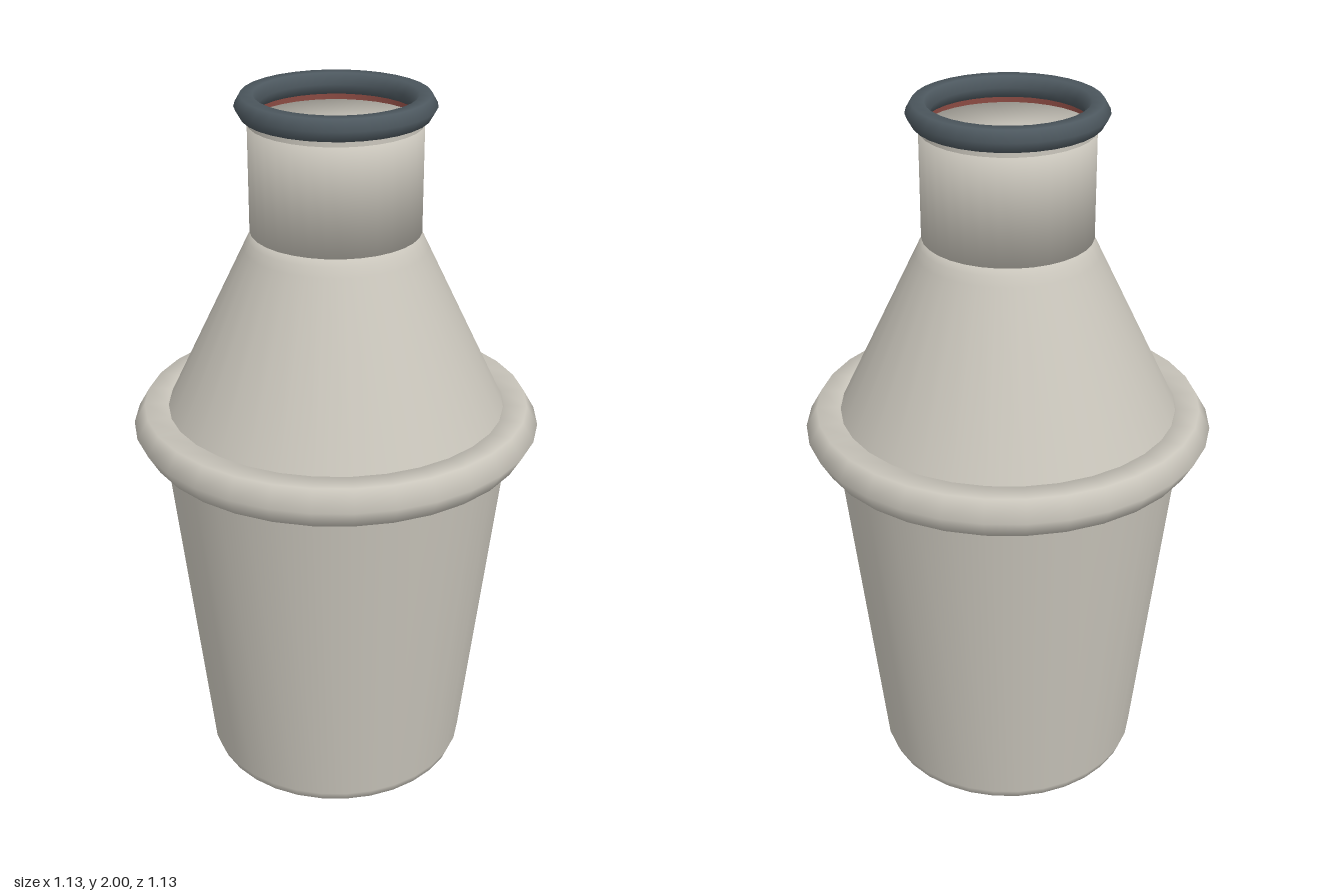
import * as THREE from 'three';

const SEG = 32;

export function createModel() {
  const model = new THREE.Group();
  const shell = new THREE.MeshStandardMaterial({ color: 0xc9c5bb });
  shell.name = 'warm grey';
  const dark = new THREE.MeshStandardMaterial({ color: 0x4d585f });
  dark.name = 'slate';
  const red = new THREE.MeshStandardMaterial({ color: 0x8a4a42, side: THREE.BackSide });
  red.name = 'dull red';

  const add = (name, geometry, material, y = 0) => {
    const mesh = new THREE.Mesh(geometry, material);
    mesh.name = name;
    mesh.position.y = y;
    model.add(mesh);
    return mesh;
  };
  // Profiles run from the bottom up as [radius, height]
  const lathe = (points) =>
    new THREE.LatheGeometry(points.map(([r, y]) => new THREE.Vector2(r, y)), SEG);
  const ring = (name, radius, tube, y, material) => {
    const geometry = new THREE.TorusGeometry(radius, tube, 6, SEG);
    geometry.rotateX(Math.PI / 2);
    return add(name, geometry, material, y);
  };

  // Tapered cup with a softened foot
  add('cup', lathe([
    [0, 0], [0.35, 0], [0.368, 0.008], [0.379, 0.035], [0.488, 1.03], [0.495, 1.09],
  ]), shell);

  // Sloping shoulder with a rounded top edge
  add('shoulder', lathe([
    [0.49, 1.085], [0.465, 1.14], [0.248, 1.59], [0.236, 1.615], [0.22, 1.633], [0.19, 1.64], [0, 1.64],
  ]), shell);

  // Closed neck with a shallow collar above its cap
  add('neck', lathe([[0, 1.635], [0.23, 1.635], [0.23, 1.925], [0, 1.925]]), shell);
  add('collar', new THREE.CylinderGeometry(0.23, 0.23, 0.04, SEG, 1, true), shell, 1.945);
  add('collarLining', new THREE.CylinderGeometry(0.225, 0.225, 0.04, SEG, 1, true), red, 1.945);

  // Rings around the cup rim and the mouth
  ring('rimRing', 0.502, 0.063, 1.085, shell);
  ring('mouthRing', 0.23, 0.033, 1.9714, dark);

  return model;
}
